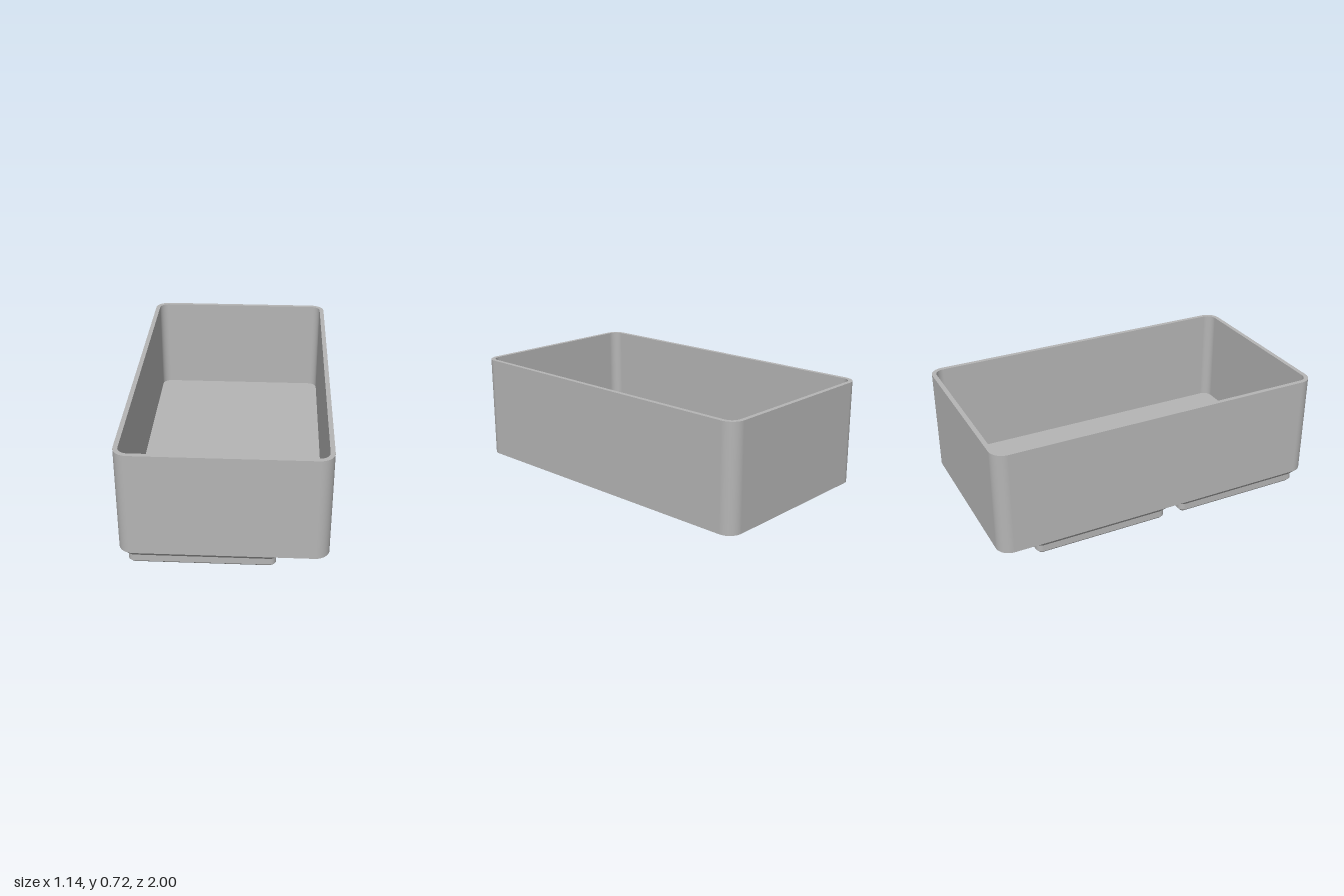
import * as THREE from 'three';

const RADIUS = 0.0815; // outer corner radius
const STEPS = 10;      // segments per rounded corner

// Sweeps a profile of [inset, y] points around a rounded rectangle.
// An inset of null closes the surface at the centre.
function roundedLoft(halfX, halfZ, profile) {
  const ring = [];
  for (const [sx, sz, start] of [[1, 1, 0], [-1, 1, 1], [-1, -1, 2], [1, -1, 3]]) {
    for (let i = 0; i <= STEPS; i++) {
      const a = (start + i / STEPS) * Math.PI / 2;
      ring.push({ cx: sx * (halfX - RADIUS), cz: sz * (halfZ - RADIUS), dx: Math.cos(a), dz: Math.sin(a) });
    }
  }
  const n = ring.length, positions = [], normals = [], index = [];
  for (let b = 0; b < profile.length - 1; b++) {
    const ends = [profile[b], profile[b + 1]];
    // each band has its own normals, so edges between bands stay sharp
    const out = ends.map(([inset]) => (inset === null ? -1 : RADIUS - inset));
    const dOut = out[1] - out[0], dy = ends[1][1] - ends[0][1];
    const len = Math.hypot(dOut, dy), base = positions.length / 3;
    ends.forEach(([inset, y], e) => {
      for (const p of ring) {
        if (inset === null) positions.push(0, y, 0);
        else positions.push(p.cx + p.dx * out[e], y, p.cz + p.dz * out[e]);
        normals.push(p.dx * dy / len, -dOut / len, p.dz * dy / len);
      }
    });
    for (let i = 0; i < n; i++) {
      const j = (i + 1) % n;
      const a = base + i, c = base + j;
      if (ends[0][0] !== null) index.push(a, a + n, c);
      if (ends[1][0] !== null) index.push(c, a + n, c + n);
    }
  }
  const geometry = new THREE.BufferGeometry();
  geometry.setAttribute('position', new THREE.Float32BufferAttribute(positions, 3));
  geometry.setAttribute('normal', new THREE.Float32BufferAttribute(normals, 3));
  geometry.setIndex(index);
  return geometry;
}

export function createModel() {
  const group = new THREE.Group();
  const grey = new THREE.MeshStandardMaterial({ color: 0xb5b5b5 });
  grey.name = 'grey plastic';

  const bottom = 0.104, top = 0.72, floor = 0.131, wall = 0.026;

  // open bin: underside, outer wall, rim, inner wall, floor
  const bin = new THREE.Mesh(roundedLoft(0.571, 1, [
    [null, bottom], [0, bottom], [0, top], [wall, top], [wall, floor], [null, floor],
  ]), grey);
  bin.name = 'bin';
  group.add(bin);

  // two stepped feet with chamfered sides, offset towards one corner
  const half = 0.451;
  const footGeometry = roundedLoft(half, half, [
    [null, 0], [0.064, 0], [0.047, 0.0175], [0.047, 0.057], [0, bottom],
  ]);
  [['frontFoot', 1 - half], ['backFoot', 1 - half - 0.913]].forEach(([name, z]) => {
    const foot = new THREE.Mesh(footGeometry, grey);
    foot.name = name;
    foot.position.set(-0.571 + half, 0, z);
    group.add(foot);
  });

  return group;
}
